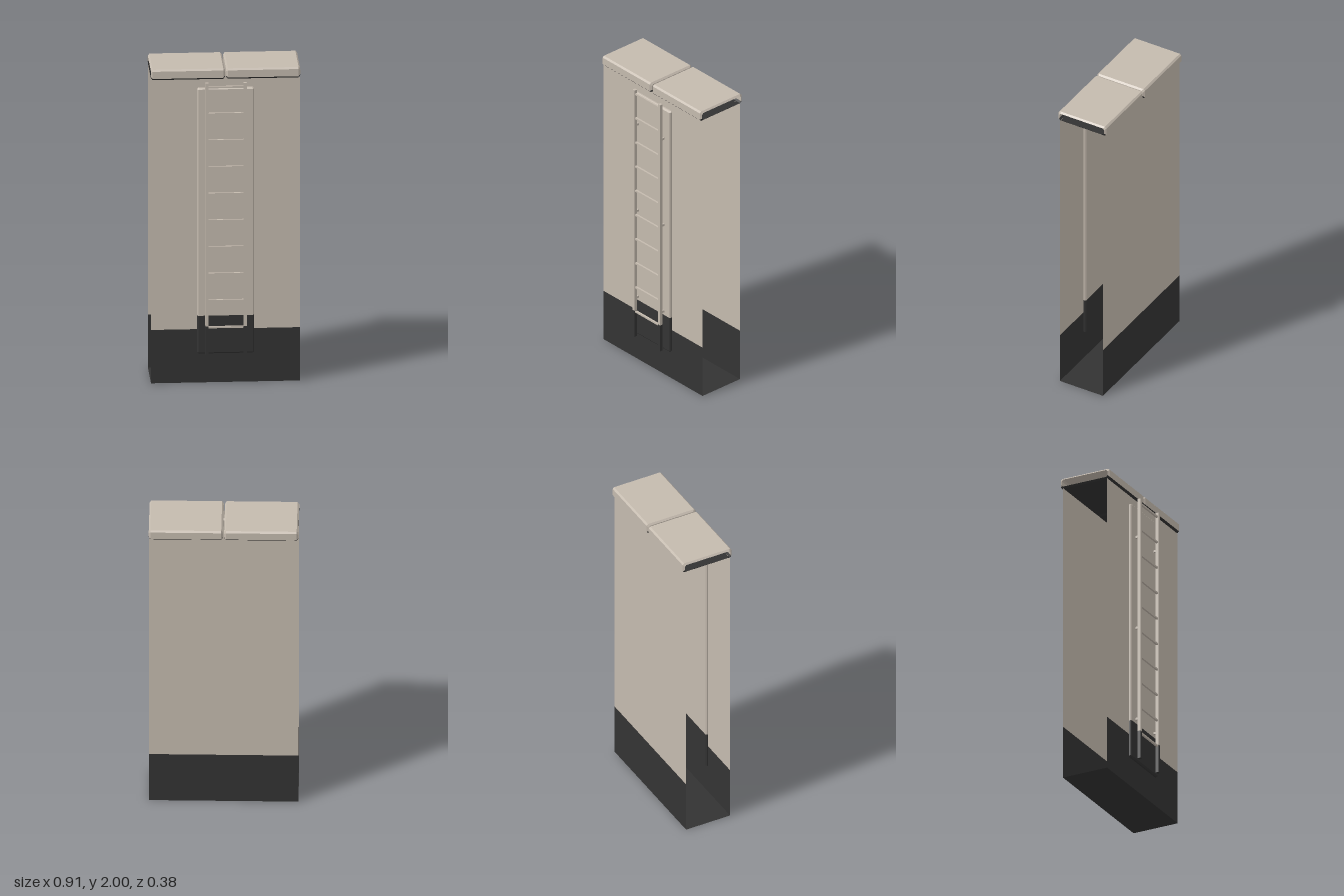
import * as THREE from 'three';

const beige = new THREE.MeshStandardMaterial({ color: 0xc4baae, side: THREE.DoubleSide });
beige.name = 'beige';
const dark = new THREE.MeshStandardMaterial({ color: 0x333333, side: THREE.DoubleSide });
dark.name = 'charcoal';

// Rectangle with chamfered corners; edge 0 is the bottom, 1 and 7 its chamfers
function octagon(w, h, c) {
  return [[c - w, -h], [w - c, -h], [w, c - h], [w, h - c], [w - c, h], [c - w, h], [-w, h - c], [-w, c - h]];
}

// Chamfered bar lofted along t. sections: [t, inset]; place(u, v, t) gives a point.
function loft(w, h, c, sections, place, edges, closeStart, closeEnd) {
  const rings = sections.map(([t, inset]) =>
    octagon(w - inset, h - inset, c).map(([u, v]) => place(u, v, t)));
  const pos = [];
  const tri = (...pts) => pts.forEach((p) => pos.push(...p));
  for (let s = 0; s < rings.length - 1; s++) {
    const a = rings[s], b = rings[s + 1];
    for (const i of edges) {
      const j = (i + 1) % 8;
      tri(a[i], b[j], a[j]);
      tri(a[i], b[i], b[j]);
    }
  }
  const first = rings[0], last = rings[rings.length - 1];
  for (let i = 1; i < 7; i++) {
    if (closeStart) tri(first[0], first[i], first[i + 1]);
    if (closeEnd) tri(last[0], last[i + 1], last[i]);
  }
  const geo = new THREE.BufferGeometry();
  geo.setAttribute('position', new THREE.Float32BufferAttribute(pos, 3));
  geo.computeVertexNormals();
  return geo;
}

export function createModel() {
  const model = new THREE.Group();
  model.name = 'wallSection';
  const add = (name, geo, mat, x = 0, y = 0, z = 0, parent = model) => {
    const m = new THREE.Mesh(geo, mat);
    m.name = name;
    m.position.set(x, y, z);
    parent.add(m);
    return m;
  };
  const box = (name, mat, w, h, d, x, y, z, parent) =>
    add(name, new THREE.BoxGeometry(w, h, d), mat, x, y, z, parent);

  // Front and back sheets with a dark base band; the ends are open
  const front = 0.133, back = -0.17, width = 0.905, band = 0.34, top = 1.935;
  for (const [name, z, turn] of [['frontWall', front, 0], ['backWall', back, Math.PI]]) {
    add(name, new THREE.PlaneGeometry(width, top - band), beige, 0, (top + band) / 2, z).rotation.y = turn;
    add(name + 'Base', new THREE.PlaneGeometry(width, band), dark, 0, band / 2, z).rotation.y = turn;
  }
  add('floor', new THREE.PlaneGeometry(width, front - back), dark, 0, 0, (front + back) / 2).rotation.x = Math.PI / 2;

  // Two hollow coping caps, open at the outer ends, dark underneath
  const capPlace = (u, v, t) => [t, 1.967 + v, -0.021 + u];
  for (const side of [-1, 1]) {
    const sections = side < 0
      ? [[-0.453, 0.01], [-0.443, 0], [-0.014, 0], [-0.004, 0.01]]
      : [[0.004, 0.01], [0.014, 0], [0.443, 0], [0.453, 0.01]];
    const name = side < 0 ? 'rightCap' : 'leftCap';
    add(name, loft(0.168, 0.033, 0.01, sections, capPlace, [2, 3, 4, 5, 6], side > 0, side < 0), beige);
    add(name + 'Underside', loft(0.168, 0.033, 0.01, sections, capPlace, [7, 0, 1], false, false), dark);
  }

  // Raised backing panel behind the ladder, dark at the foot
  const panelPlace = (u, v, t) => [u, t, 0.134 + v];
  const all = [0, 1, 2, 3, 4, 5, 6, 7];
  add('panelFoot', loft(0.173, 0.016, 0.007, [[0.187, 0.008], [0.196, 0], [0.43, 0]], panelPlace, all, true, false), dark);
  add('panel', loft(0.173, 0.016, 0.007, [[0.43, 0], [1.871, 0], [1.88, 0.008]], panelPlace, all, false, true), beige);

  // Ladder
  const ladder = new THREE.Group();
  ladder.name = 'ladder';
  model.add(ladder);
  for (const x of [-0.116, 0.116]) {
    box('rail', beige, 0.019, 1.55, 0.019, x, 1.147, 0.177, ladder);
    box('railFoot', dark, 0.019, 0.182, 0.019, x, 0.281, 0.177, ladder);
    for (const y of [0.457, 1.065, 1.672])
      box('bracket', beige, 0.013, 0.014, 0.022, x, y, 0.158, ladder);
  }
  for (let i = 0; i < 10; i++)
    box('rung', beige, 0.22, 0.011, 0.012, 0, 0.365 + i * 0.17, 0.177, ladder);

  return model;
}
